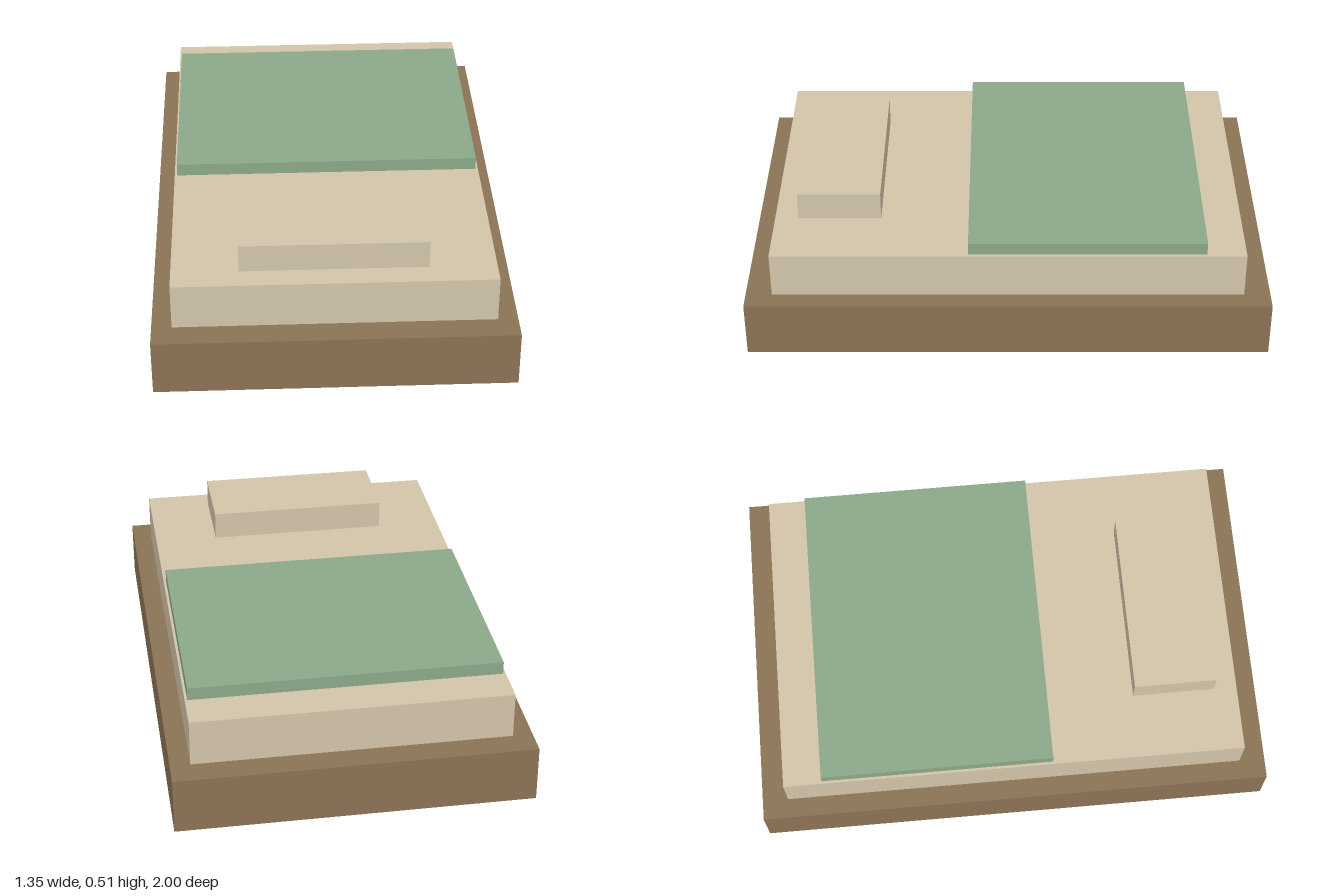
import * as THREE from 'three';

function material(name, color) {
  const m = new THREE.MeshStandardMaterial({ color });
  m.name = name;
  return m;
}

export function createModel() {
  const bed = new THREE.Group();
  bed.name = 'bed';

  const wood = material('brown wood', 0x8b7355);
  const linen = material('cream linen', 0xd2c4aa);
  const wool = material('sage green wool', 0x8ba888);

  // Adds a box resting at height y, centred on x = 0
  function slab(name, mat, width, height, depth, y, z = 0) {
    const mesh = new THREE.Mesh(new THREE.BoxGeometry(width, height, depth), mat);
    mesh.name = name;
    mesh.position.set(0, y + height / 2, z);
    bed.add(mesh);
  }

  slab('bedFrame', wood, 1.35, 0.22, 2, 0);
  slab('mattress', linen, 1.2, 0.18, 1.8, 0.22);
  // Pillow near the front end, blanket towards the back
  slab('pillow', linen, 0.7, 0.11, 0.32, 0.4, 0.65);
  slab('blanket', wool, 1.18, 0.05, 0.9, 0.4, -0.3);

  return bed;
}
